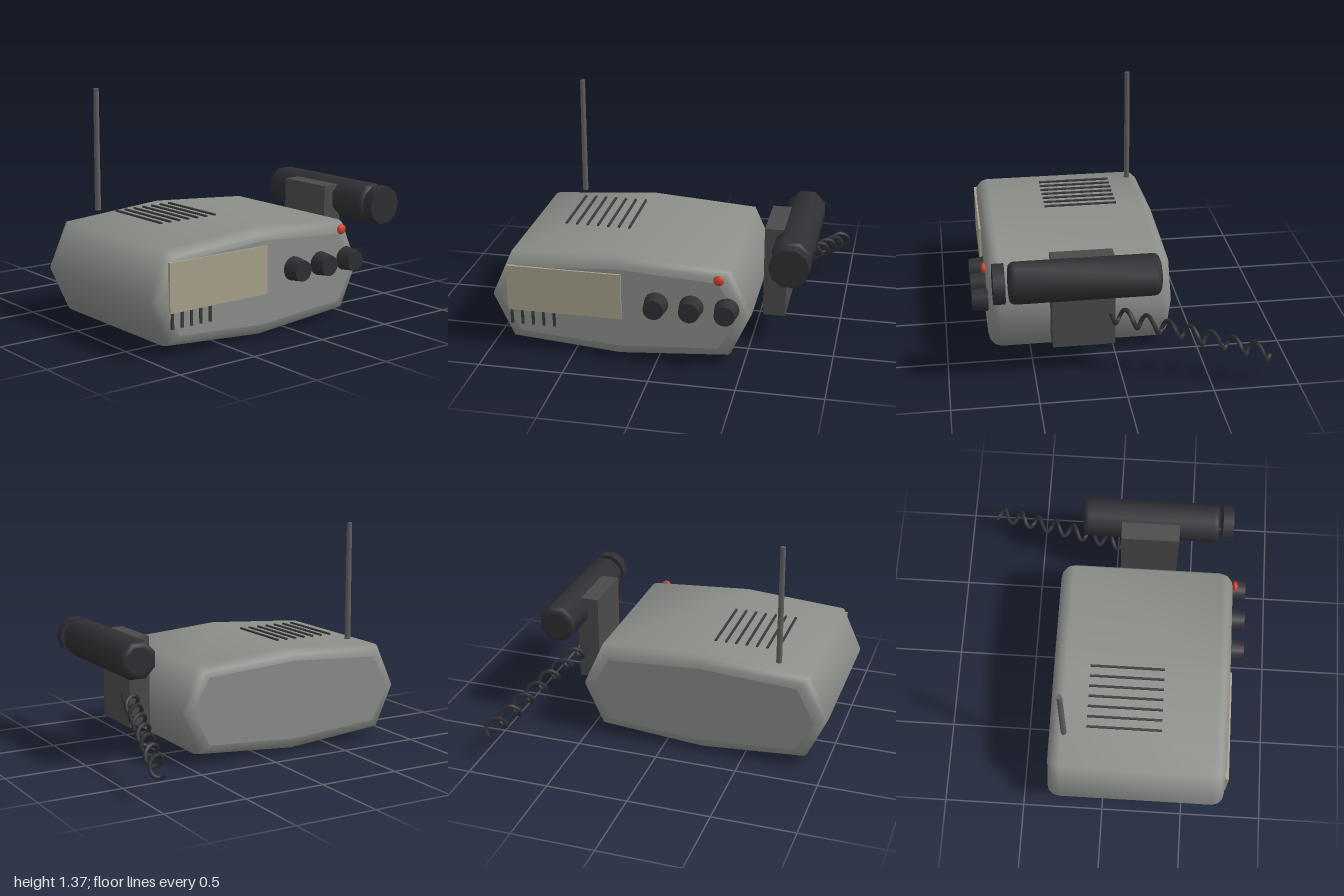
import * as THREE from 'three';

const mat = (color) => new THREE.MeshStandardMaterial({ color });
const paint = mat(0x8a8d88), dark = mat(0x2f2f34), slot = mat(0x3a3a3a);
const bracketGrey = mat(0x4a4a4a), steel = mat(0x606060);
const cream = mat(0xa6a08a), red = mat(0xd04030);

// Prism along z from a cross-section (counter-clockwise from +z), with rounded rims and flat caps
function roundedPrism(section, halfW, halfH, zBack, zFront, r, steps = 3) {
  const rings = [];
  for (let s = 0; s <= steps; s++) {
    const a = (s / steps) * Math.PI / 2;
    rings.push({ inset: r * (1 - Math.sin(a)), z: zBack + r * (1 - Math.cos(a)) });
  }
  for (let s = 0; s <= steps; s++) {
    const a = (s / steps) * Math.PI / 2;
    rings.push({ inset: r * (1 - Math.cos(a)), z: zFront - r * (1 - Math.sin(a)) });
  }
  const n = section.length, pos = [], idx = [];
  const addRing = ({ inset, z }) => {
    for (const [x, y] of section) pos.push(x * (1 - inset / halfW), y * (1 - inset / halfH), z);
  };
  rings.forEach(addRing);
  for (let i = 0; i < rings.length - 1; i++) {
    for (let j = 0; j < n; j++) {
      const k = (j + 1) % n, a = i * n + j, b = i * n + k;
      idx.push(a, b, b + n, a, b + n, a + n);
    }
  }
  // Caps have their own corners so they stay flat
  const back = pos.length / 3;
  addRing(rings[0]);
  const front = back + n;
  addRing(rings[rings.length - 1]);
  for (let j = 1; j < n - 1; j++) {
    idx.push(back, back + j + 1, back + j, front, front + j, front + j + 1);
  }
  const g = new THREE.BufferGeometry();
  g.setAttribute('position', new THREE.Float32BufferAttribute(pos, 3));
  g.setIndex(idx);
  g.computeVertexNormals();
  return g;
}

export function createModel() {
  const model = new THREE.Group();
  model.name = 'radioSet';
  const add = (name, geometry, material, x = 0, y = 0, z = 0) => {
    const m = new THREE.Mesh(geometry, material);
    m.name = name;
    m.position.set(x, y, z);
    model.add(m);
    return m;
  };
  const box = (name, material, w, h, d, x, y, z) =>
    add(name, new THREE.BoxGeometry(w, h, d), material, x, y, z);

  // Eight-sided housing
  const housing = [[0.77, 0], [0.65, 0.27], [0, 0.3175], [-0.65, 0.27],
    [-0.77, 0], [-0.65, -0.265], [0, -0.3175], [0.65, -0.265]];
  add('housing', roundedPrism(housing, 0.77, 0.3175, -0.34, 0.75, 0.075), paint, -0.23, 0.3175, 0);

  // Dial panel and the slots below it
  box('dialPanel', cream, 0.68, 0.28, 0.02, -0.548, 0.392, 0.752);
  for (let i = 0; i < 5; i++) {
    box('frontSlot', slot, 0.016, 0.13, 0.014, -0.868 + i * 0.064, 0.227, 0.752);
  }

  // Control knobs
  for (const x of [-0.003, 0.202, 0.406]) {
    const knob = add('knob', new THREE.CylinderGeometry(0.06, 0.072, 0.095, 16), dark, x, 0.367, 0.793);
    knob.rotation.x = Math.PI / 2;
  }

  // Warning lamp
  add('lamp', new THREE.SphereGeometry(0.031, 12, 8), red, 0.36, 0.55, 0.763).scale.z = 0.55;

  // Speaker bars on top
  for (let i = 0; i < 7; i++) {
    box('speakerBar', slot, 0.013, 0.01, 0.455, -0.64 + i * 0.0643, 0.647, 0.115);
  }

  // Antenna
  add('antenna', new THREE.CylinderGeometry(0.016, 0.018, 0.73, 6), steel, -0.683, 1.0, -0.246);

  // Handset holder
  box('handsetBracket', bracketGrey, 0.133, 0.55, 0.365, 0.632, 0.455, 0.21);

  // Handset with its separate mouthpiece disc
  const octagon = [];
  for (let i = 0; i < 8; i++) {
    const a = (i + 0.5) * Math.PI / 4;
    octagon.push([0.121 * Math.cos(a), 0.121 * Math.sin(a)]);
  }
  add('handset', roundedPrism(octagon, 0.121, 0.121, -0.22, 0.643, 0.035), dark, 0.748, 0.641, 0);
  const disc = add('mouthpiece', new THREE.CylinderGeometry(0.117, 0.117, 0.067, 10), dark, 0.748, 0.641, 0.697);
  disc.rotation.set(Math.PI / 2, Math.PI / 10 * 5, 0);

  // Coiled cord, a helix drifting back, outwards and down
  const points = [], turns = 7.5, perTurn = 8;
  for (let i = 0; i <= turns * perTurn; i++) {
    const t = i / (turns * perTurn), z = 0.06 - 0.9 * t;
    const a = 2 * Math.PI * (-0.04 - z) / 0.12;
    points.push(new THREE.Vector3(0.685 + 0.262 * t + 0.045 * Math.sin(a),
      0.37 - 0.188 * t + 0.047 * Math.cos(a), z));
  }
  add('cord', new THREE.TubeGeometry(new THREE.CatmullRomCurve3(points), 90, 0.013, 6), dark);

  return model;
}
